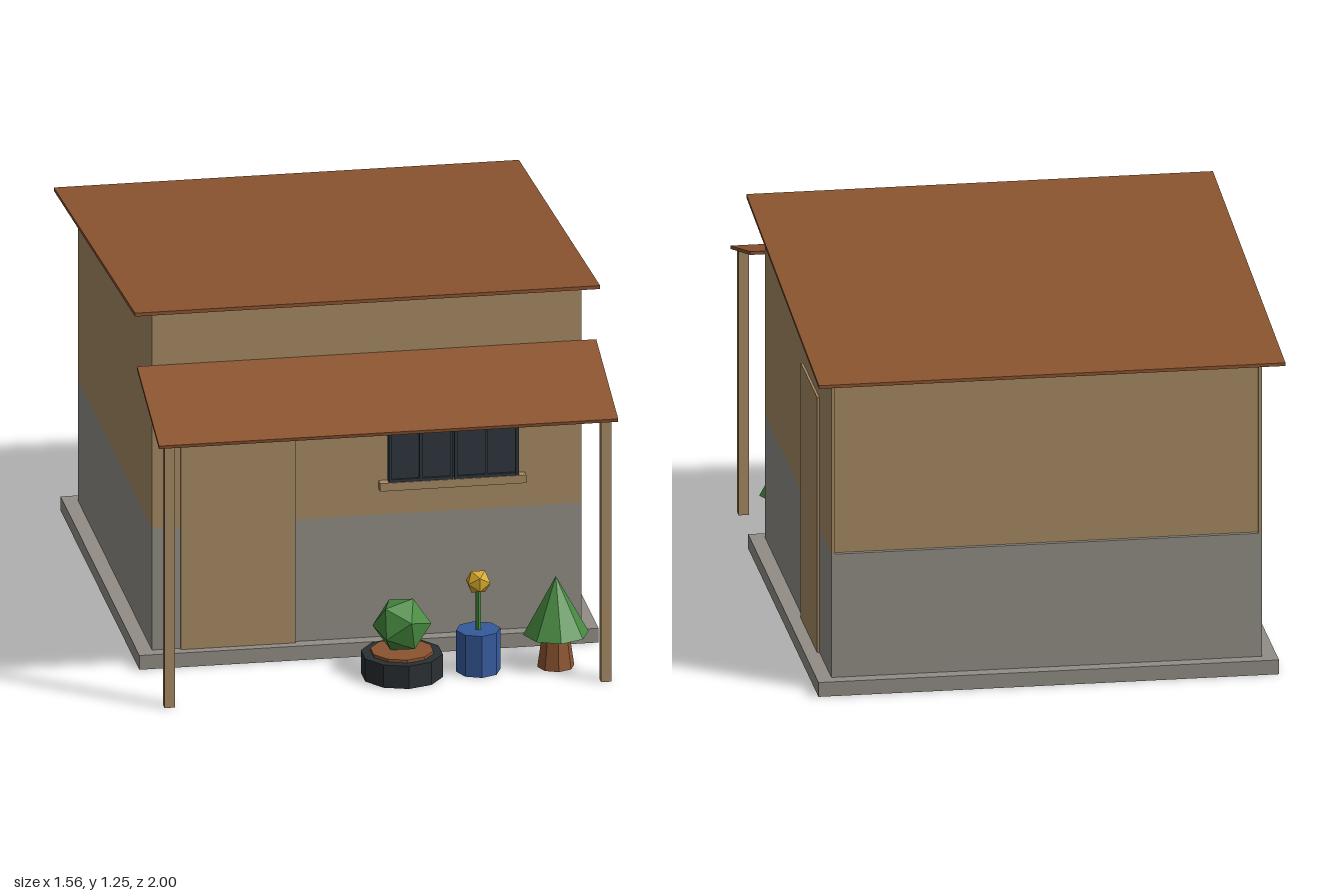
import * as THREE from 'three';

const paint = (name, color) => {
  const m = new THREE.MeshStandardMaterial({ color });
  m.name = name;
  m.flatShading = true;
  return m;
};

export function createModel() {
  const model = new THREE.Group();
  model.name = 'gardenHouse';

  const tan = paint('tan wall', 0xa68a64);
  const stone = paint('grey stone', 0x928e86);
  const rust = paint('rust brown', 0x8b5430);
  const dark = paint('dark slate', 0x2d363c);
  const black = paint('black pot', 0x2a2f33);
  const blue = paint('blue pot', 0x365a9e);
  const green = paint('leaf green', 0x478a40);
  const yellow = paint('flower yellow', 0xd4a82c);
  const steel = paint('window grey', 0x868d92);

  const add = (name, geometry, material, x = 0, y = 0, z = 0, parent = model) => {
    const mesh = new THREE.Mesh(geometry, material);
    mesh.name = name;
    mesh.position.set(x, y, z);
    parent.add(mesh);
    return mesh;
  };
  // Box given by its limits on each axis
  const box = (name, mat, x0, x1, y0, y1, z0, z1, parent) =>
    add(name, new THREE.BoxGeometry(x1 - x0, y1 - y0, z1 - z0), mat,
      (x0 + x1) / 2, (y0 + y1) / 2, (z0 + z1) / 2, parent);
  // Side profile of [z, y] points, extruded across x
  const profile = (name, mat, points, x0, x1) => {
    const shape = new THREE.Shape(points.map(([z, y]) => new THREE.Vector2(z, y)));
    const g = new THREE.ExtrudeGeometry(shape, { depth: x1 - x0, bevelEnabled: false });
    g.rotateY(-Math.PI / 2);
    return add(name, g, mat, x1);
  };

  // Foundation and two-tone walls; the upper back wall is slightly recessed
  const wallTop = (z) => 1.232 - 0.085 * (0.57 - z);
  box('foundation', stone, -0.77, 0.77, 0, 0.05, -0.925, 0.615);
  box('lowerWalls', stone, -0.72, 0.72, 0.05, 0.48, -0.88, 0.57);
  const upper = (name, zBack, zFront, x0, x1) => profile(name, tan,
    [[zBack, 0.48], [zFront, 0.48], [zFront, wallTop(zFront)], [zBack, wallTop(zBack)]], x0, x1);
  upper('upperWalls', -0.865, 0.57, -0.72, 0.72);
  upper('backCornerRight', -0.88, -0.865, -0.72, -0.708);
  upper('backCornerLeft', -0.88, -0.865, 0.708, 0.72);

  // Main roof and porch awning
  profile('roof', rust, [[-1, 1.101], [0.588, 1.235], [0.588, 1.247], [-1, 1.112]], -0.78, 0.78);
  profile('awning', rust, [[0.57, 1.04], [0.998, 0.917], [1, 0.928], [0.57, 1.052]], -0.77, 0.77);
  for (const s of [-1, 1]) {
    add('awningPost', new THREE.BoxGeometry(0.035, 0.92, 0.035), tan, s * 0.732, 0.46, 0.973);
  }

  // Doors
  box('frontDoor', tan, -0.625, -0.24, 0.05, 0.97, 0.565, 0.583);
  box('sideDoor', tan, 0.715, 0.728, 0.05, 0.94, -0.62, -0.26);

  // Window with two casements, glazing bars and sill
  const win = new THREE.Group();
  win.name = 'window';
  model.add(win);
  box('windowBacking', steel, 0.07, 0.505, 0.6, 0.945, 0.565, 0.582, win);
  for (const x0 of [0.07, 0.29]) {
    const x1 = x0 + 0.215;
    box('pane', dark, x0, x1, 0.6, 0.945, 0.58, 0.592, win);
    for (const x of [x0 + 0.005, (x0 + x1) / 2, x1 - 0.005]) {
      box('uprightBar', dark, x - 0.005, x + 0.005, 0.6, 0.945, 0.59, 0.6, win);
    }
    for (const y of [0.605, 0.775, 0.94]) {
      box('crossBar', dark, x0, x1, y - 0.005, y + 0.005, 0.59, 0.599, win);
    }
  }
  box('sill', tan, 0.04, 0.53, 0.572, 0.6, 0.565, 0.602, win);

  // Potted plants in a row under the awning
  const z = 0.81;
  const cyl = (top, bottom, h, sides) => new THREE.CylinderGeometry(top, bottom, h, sides);
  add('roundPot', cyl(0.137, 0.137, 0.08, 10), black, 0.077, 0.04, z);
  add('soil', cyl(0.105, 0.105, 0.02, 10), rust, 0.077, 0.08, z);
  add('bush', new THREE.IcosahedronGeometry(0.098, 0), green, 0.077, 0.178, z).rotation.set(0.2, 0.3, 0.15);

  add('tallPot', cyl(0.074, 0.074, 0.146, 8), blue, 0.333, 0.073, z);
  add('stem', cyl(0.01, 0.01, 0.15, 6), green, 0.333, 0.215, z);
  add('flower', new THREE.IcosahedronGeometry(0.044, 0), yellow, 0.333, 0.313, z);

  add('treePot', cyl(0.045, 0.062, 0.12, 8), rust, 0.593, 0.06, z);
  add('treeCrown', new THREE.ConeGeometry(0.11, 0.2, 8), green, 0.593, 0.216, z);

  return model;
}
